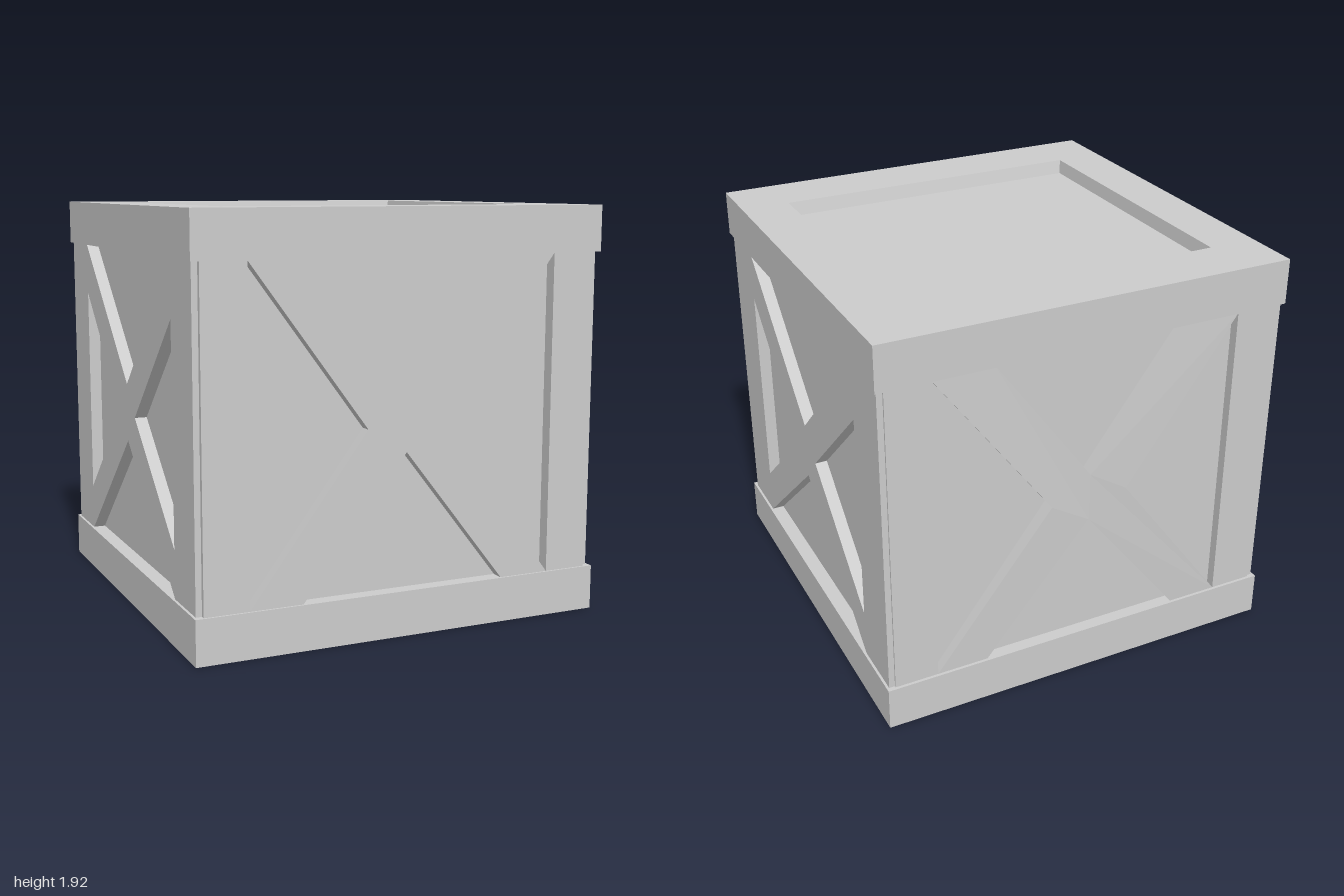
import * as THREE from 'three';

const material = new THREE.MeshStandardMaterial({ color: 0xcccccc, flatShading: true });

const outline = (points) => points.map(([x, y]) => new THREE.Vector2(x, y));
const rect = (x0, y0, x1, y1) => outline([[x0, y0], [x1, y0], [x1, y1], [x0, y1]]);

function extrude(points, holes, depth) {
  const shape = new THREE.Shape(points);
  for (const hole of holes) shape.holes.push(new THREE.Path(hole));
  return new THREE.ExtrudeGeometry(shape, { depth, bevelEnabled: false });
}

function add(parent, name, geometry) {
  const mesh = new THREE.Mesh(geometry, material);
  mesh.name = name;
  parent.add(mesh);
  return mesh;
}

// Triangular openings that leave a frame with crossed braces
const END_HOLES = [
  [[-0.75, 1.71], [-0.75, 0.21], [-0.19, 0.96]],
  [[0.75, 1.71], [0.75, 0.21], [0.19, 0.96]],
  [[-0.46, 1.71], [0.46, 1.71], [0, 1.08]],
  [[-0.5, 0.21], [0.5, 0.21], [0, 0.845]],
];
const SIDE_HOLES = [
  [[-0.69, 1.46], [-0.69, 0.435], [-0.12, 0.925]],
  [[0.69, 1.45], [0.69, 0.435], [0.12, 0.93]],
  [[-0.69, 1.71], [0.69, 1.71], [0, 1.075]],
  [[-0.69, 0.21], [0.69, 0.21], [0, 0.8]],
];

// Braced panel facing +z; its ends are hidden inside the bands
function bracedPanel(halfWidth, holes, zInner, zOuter) {
  const geometry = extrude(rect(-halfWidth, 0.1, halfWidth, 1.8), holes.map(outline), zOuter - zInner);
  return geometry.translate(0, 0, zInner);
}

// Push the outer face outwards towards the crossing of the braces
function bulge(geometry, zOuter, amount) {
  const p = geometry.attributes.position;
  for (let i = 0; i < p.count; i++) {
    if (p.getZ(i) < zOuter - 0.001) continue;
    const k = Math.max(0, 1 - Math.abs(p.getX(i)) / 0.96) * Math.max(0, 1 - Math.abs(p.getY(i) - 0.96) / 0.75);
    p.setZ(i, zOuter + amount * k);
  }
  geometry.computeVertexNormals();
  return geometry;
}

// Thick rectangular band with a tapering opening; the wide end of the opening is at +z
function band(zBack, zFront, height) {
  const geometry = extrude(rect(-1, zBack, 1, zFront), [rect(-0.765, -0.71, 0.765, 0.71)], height);
  const p = geometry.attributes.position;
  for (let i = 0; i < p.count; i++) {
    if (Math.abs(p.getX(i)) < 0.9 && p.getZ(i) < height / 2) {
      p.setX(i, p.getX(i) - Math.sign(p.getX(i)) * 0.035);
      p.setY(i, p.getY(i) - Math.sign(p.getY(i)) * 0.06);
    }
  }
  geometry.computeVertexNormals();
  return geometry;
}

export function createModel() {
  const crate = new THREE.Group();
  crate.name = 'crate';

  // Inner box: recessed wall panels and the floors of the top and bottom recesses
  add(crate, 'innerBox', new THREE.BoxGeometry(1.86, 1.82, 1.86).translate(0, 0.95, 0));

  // Top and bottom bands
  const lid = add(crate, 'topBand', band(-0.995, 0.985, 0.215));
  lid.rotation.x = -Math.PI / 2;
  lid.position.y = 1.71;
  const base = add(crate, 'bottomBand', band(-0.99, 0.998, 0.21));
  base.rotation.x = Math.PI / 2;
  base.position.y = 0.21;

  // Front and back braced panels
  add(crate, 'frontPanel', bracedPanel(0.96, END_HOLES, 0.925, 0.988));
  const back = add(crate, 'backPanel', bulge(bracedPanel(0.96, END_HOLES, 0.92, 0.976), 0.976, 0.027));
  back.rotation.y = Math.PI;

  // Left and right braced panels
  for (const side of [1, -1]) {
    const panel = add(crate, side > 0 ? 'leftPanel' : 'rightPanel', bracedPanel(0.967, SIDE_HOLES, 0.925, 0.988));
    panel.rotation.y = side * Math.PI / 2;
  }
  return crate;
}
